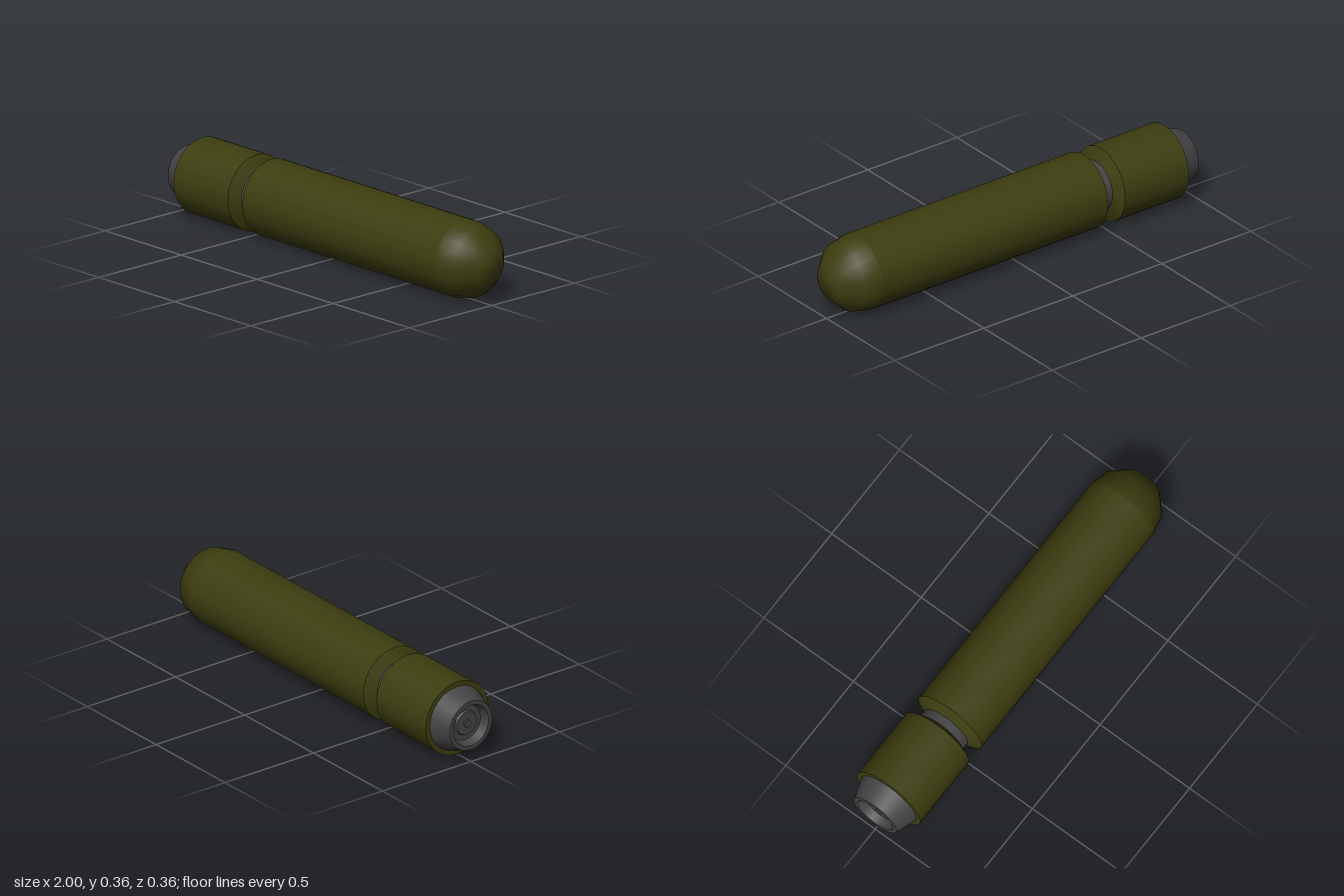
import * as THREE from 'three';

const SIDES = 24;
const R = 0.178;
const olive = new THREE.MeshStandardMaterial({ color: 0x3d3d10 });
const darkGrey = new THREE.MeshStandardMaterial({ color: 0x444444 });

// Turned part along x: each run of [x, radius] points is smooth, runs meet at sharp edges
function turned(name, material, runs) {
  const part = new THREE.Group();
  part.name = name;
  runs.forEach((run, i) => {
    const points = run.map(([x, r]) => new THREE.Vector2(r, x));
    const geometry = new THREE.LatheGeometry(points, SIDES).rotateZ(-Math.PI / 2);
    const mesh = new THREE.Mesh(geometry, material);
    mesh.name = `${name}Surface${i + 1}`;
    part.add(mesh);
  });
  return part;
}

export function createModel() {
  const model = new THREE.Group();
  model.name = 'cylinderCapsule';

  // Long body with chamfered neck end and rounded nose
  const body = turned('body', olive, [
    [[-0.475, 0.12], [-0.447, R]],
    [[-0.447, R], [0.82, R]],
    [[0.82, R], [0.908, 0.16], [0.988, 0.084], [1, 0]],
  ]);

  // Narrow neck between the body and the collar
  const neck = turned('neck', darkGrey, [[[-0.52, 0.121], [-0.47, 0.121]]]);

  // Short collar with a flat rear shoulder and chamfered front
  const collar = turned('collar', olive, [
    [[-0.9, 0.15], [-0.9, R]],
    [[-0.9, R], [-0.543, R]],
    [[-0.543, R], [-0.515, 0.12]],
  ]);

  // Tapered end cap with a recessed face
  const endCap = turned('endCap', darkGrey, [
    [[-0.96, 0], [-0.96, 0.085]],
    [[-0.96, 0.085], [-1, 0.1]],
    [[-1, 0.1], [-1, 0.12]],
    [[-1, 0.12], [-0.9, 0.155]],
  ]);

  // Raised disc and central stud inside the recess
  const disc = turned('recessDisc', darkGrey, [
    [[-0.97, 0], [-0.97, 0.055]],
    [[-0.97, 0.055], [-0.96, 0.06]],
  ]);
  const stud = turned('centreStud', darkGrey, [
    [[-0.98, 0], [-0.98, 0.018]],
    [[-0.98, 0.018], [-0.97, 0.018]],
  ]);

  model.add(body, neck, collar, endCap, disc, stud);
  model.position.y = R;
  const root = new THREE.Group();
  root.name = 'model';
  root.add(model);
  return root;
}
